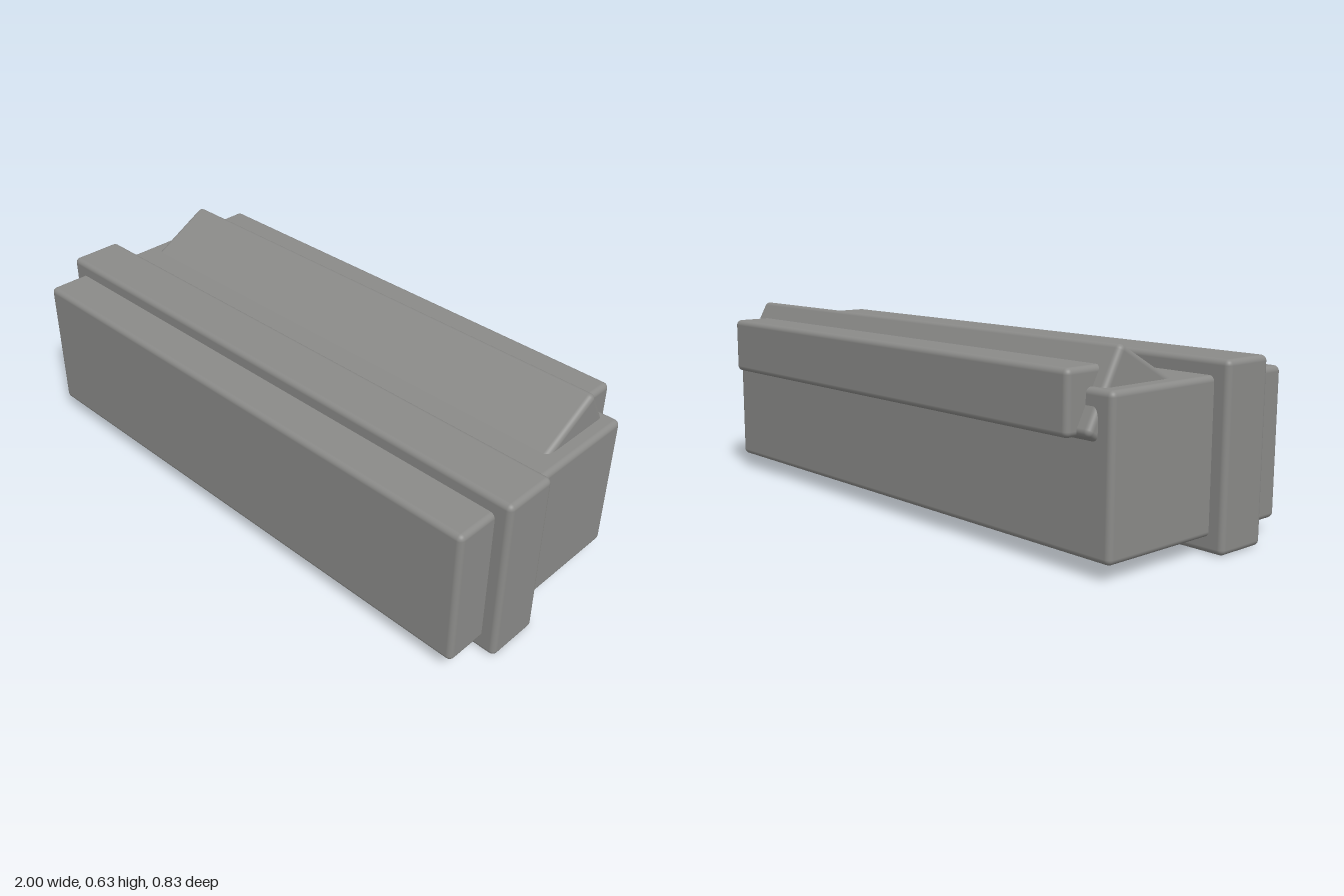
import * as THREE from 'three';
import { RoundedBoxGeometry } from 'three/addons/geometries/RoundedBoxGeometry.js';

export function createModel() {
  const group = new THREE.Group();
  const grey = new THREE.MeshStandardMaterial({ color: 0x8a8a88 });
  grey.name = 'grey';

  // Rounded block centred on x = 0
  function block(name, width, height, depth, y, z, tilt = 0) {
    const mesh = new THREE.Mesh(new RoundedBoxGeometry(width, height, depth, 4, 0.018), grey);
    mesh.name = name;
    mesh.position.set(0, y, z);
    mesh.rotation.x = tilt;
    group.add(mesh);
  }

  // Long main body
  block('body', 1.9, 0.474, 0.757, 0.286, 0.0355);
  // Band wrapped around the body near the front
  block('band', 2, 0.572, 0.188, 0.286, 0.178);
  // Tilted block sunk into the upper back edge
  block('tiltedBlock', 1.8, 0.27, 0.36, 0.435, -0.16, 0.5);
  // Bar overhanging the back
  block('rearBar', 1.71, 0.188, 0.283, 0.485, -0.2725);

  return group;
}
